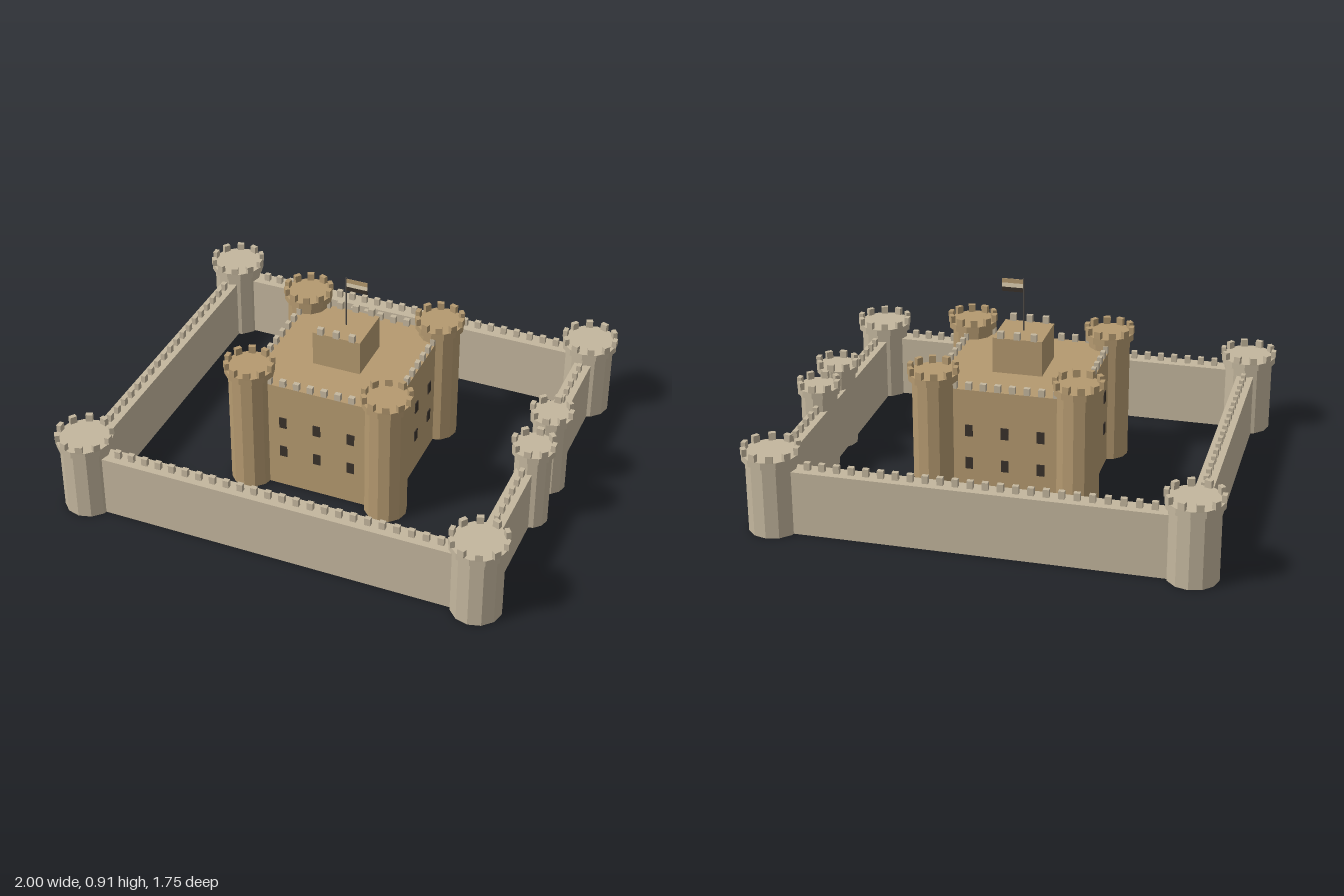
import * as THREE from 'three';
import { mergeGeometries } from 'three/addons/utils/BufferGeometryUtils.js';

function material(name, color) {
  const m = new THREE.MeshStandardMaterial({ color });
  m.name = name;
  return m;
}

export function createModel() {
  const stone = material('pale stone', 0xc4b79e);
  const tan = material('tan stone', 0xb59a70);
  const dark = material('dark opening', 0x3a322b);
  const iron = material('pole grey', 0x56514c);
  const cream = material('flag cream', 0xe2d2b4);
  const castle = new THREE.Group();
  castle.name = 'castle';

  function add(parent, name, geometry, mat, x = 0, y = 0, z = 0) {
    const mesh = new THREE.Mesh(geometry, mat);
    mesh.name = name;
    mesh.position.set(x, y, z);
    parent.add(mesh);
    return mesh;
  }
  // Box standing on height y
  const block = (parent, name, mat, w, h, d, x, y, z) =>
    add(parent, name, new THREE.BoxGeometry(w, h, d), mat, x, y + h / 2, z);

  // Twelve-sided faceted drum
  function drum(r, h) {
    const g = new THREE.CylinderGeometry(r, r, h, 12).toNonIndexed();
    g.computeVertexNormals();
    return g;
  }

  // Straight row of merlons along x, centred on the origin
  function merlonRow(count, spacing, h) {
    const parts = [];
    for (let i = 0; i < count; i++) {
      parts.push(new THREE.BoxGeometry(0.026, h, 0.02)
        .translate((i - (count - 1) / 2) * spacing, h / 2, 0));
    }
    return mergeGeometries(parts);
  }

  // Round tower with an overhanging cap and a ring of merlons
  function tower(name, mat, x, z, r, capR, capTop, merlons) {
    const t = new THREE.Group();
    t.name = name;
    t.position.set(x, 0, z);
    const capH = 0.03, h = capTop - capH;
    add(t, 'towerBody', drum(r, h), mat, 0, h / 2, 0);
    add(t, 'towerCap', drum(capR, capH), mat, 0, h + capH / 2, 0);
    const parts = [];
    for (let i = 0; i < merlons; i++) {
      parts.push(new THREE.BoxGeometry(0.02, 0.032, 0.03)
        .translate(capR - 0.008, capTop + 0.016, 0)
        .rotateY(i * Math.PI * 2 / merlons));
    }
    add(t, 'towerMerlons', mergeGeometries(parts), mat);
    castle.add(t);
  }

  // Outer walls and their merlons
  const wallX = 0.875, wallZ = 0.75, wallH = 0.281;
  for (const s of [-1, 1]) {
    block(castle, 'longWall', stone, wallX * 2, wallH, 0.08, 0, 0, s * wallZ);
    add(castle, 'longWallMerlons', merlonRow(24, 0.0625, 0.034), stone, 0, wallH, s * wallZ);
    block(castle, 'sideWall', stone, 0.075, wallH, wallZ * 2, s * wallX, 0, 0);
    add(castle, 'sideWallMerlons', merlonRow(20, 0.0625, 0.034), stone, s * wallX, wallH, 0)
      .rotation.y = Math.PI / 2;
    for (const t of [-1, 1]) {
      tower('cornerTower', stone, s * wallX, t * wallZ, 0.108, 0.122, 0.347, 10);
      tower('keepTower', tan, s * 0.311, t * 0.311, 0.092, 0.107, 0.578, 10);
    }
    tower('gateTower', stone, 0.893, s * 0.123, 0.08, 0.093, 0.376, 8);
  }

  // Gate between its two towers
  block(castle, 'gateDoor', dark, 0.008, 0.145, 0.1, 0.914, 0, 0);
  block(castle, 'gateLintel', tan, 0.012, 0.015, 0.1, 0.914, 0.145, 0);

  // Keep with merlons and two rows of windows on each side
  const half = 0.325, keepH = 0.515;
  block(castle, 'keep', tan, half * 2, keepH, half * 2, 0, 0, 0);
  for (let side = 0; side < 4; side++) {
    const face = new THREE.Group();
    face.name = 'keepSide';
    face.rotation.y = side * Math.PI / 2;
    castle.add(face);
    add(face, 'keepMerlons', merlonRow(8, 0.0625, 0.031), stone, 0, keepH, 0.315);
    for (const y of [0.155, 0.305]) {
      for (const x of [-0.155, 0, 0.155]) {
        block(face, 'window', dark, 0.033, 0.052, 0.008, x, y, half);
      }
    }
  }

  // Roof turret with merlons on its front and back
  block(castle, 'turret', tan, 0.216, 0.16, 0.222, 0, 0.512, 0);
  for (const s of [-1, 1]) {
    add(castle, 'turretMerlons', merlonRow(3, 0.072, 0.031), stone, 0, 0.672, s * 0.109);
  }

  // Flagpole and striped flag
  add(castle, 'flagpole', new THREE.CylinderGeometry(0.003, 0.003, 0.236, 8), iron, 0, 0.788, 0);
  [dark, cream, tan].forEach((mat, i) =>
    block(castle, 'flagStripe', mat, 0.094, 0.019, 0.003, 0.048, 0.845 + i * 0.019, 0));

  return castle;
}
